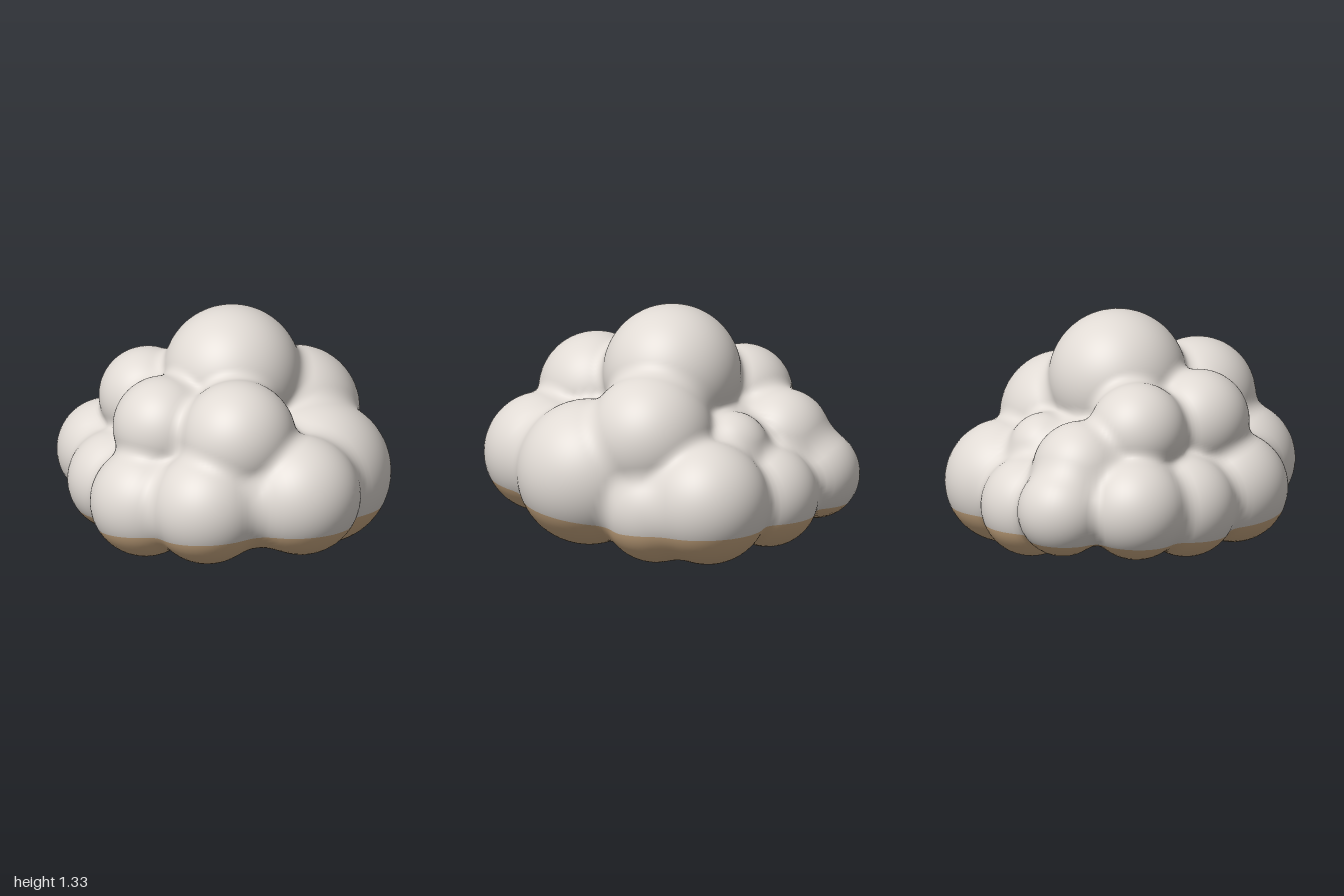
import * as THREE from 'three';

// Puffs of the cloud: centre x, y, z and radius
const PUFFS = [
  [0.05, 0.95, -0.02, 0.38],   // crown
  [-0.08, 0.78, 0.48, 0.32],   // front shoulder
  [0.22, 0.48, 0.67, 0.33],    // front row
  [-0.29, 0.44, 0.58, 0.315],
  [0.44, 0.45, 0.31, 0.40],    // +x side
  [0.43, 0.68, -0.05, 0.35],
  [0.52, 0.305, -0.12, 0.30],
  [0.51, 0.36, -0.42, 0.34],
  [-0.40, 0.76, 0.15, 0.28],   // -x side, upper
  [-0.35, 0.77, -0.28, 0.27],
  [-0.545, 0.385, 0.27, 0.305], // -x side, lower
  [-0.57, 0.36, -0.13, 0.28],
  [-0.52, 0.40, -0.47, 0.28],
  [-0.23, 0.39, -0.75, 0.25],  // back row
  [0.13, 0.33, -0.62, 0.28],
  [-0.20, 0.58, -0.57, 0.27],
  [0.20, 0.60, -0.44, 0.20],
  [0.00, 0.50, 0.00, 0.38],    // core, filling the underside
  [-0.02, 0.48, -0.28, 0.33],
  [-0.02, 0.48, 0.30, 0.34],
  [-0.22, 0.43, 0.15, 0.30],
  [-0.24, 0.43, -0.25, 0.30],
  [0.22, 0.42, 0.05, 0.30],
  [-0.03, 0.46, 0.58, 0.27],
];
const CENTRE = new THREE.Vector3(0, 0.42, 0);
const BLEND = 0.07;
const COLUMNS = 180;

// Signed distance to all puffs, with soft fillets where they meet
function distance(p) {
  let d = 10;
  for (const [x, y, z, r] of PUFFS) {
    const e = Math.hypot(p.x - x, p.y - y, p.z - z) - r;
    const h = Math.max(BLEND - Math.abs(d - e), 0) / BLEND;
    d = Math.min(d, e) - h * h * BLEND * 0.25;
  }
  return d;
}

// Outermost surface point in a direction from the centre
function surfacePoint(phi, theta) {
  const dir = new THREE.Vector3().setFromSphericalCoords(1, theta, phi);
  const p = new THREE.Vector3();
  let t = 1.5;
  for (let i = 0; i < 100; i++) {
    p.copy(CENTRE).addScaledVector(dir, t);
    const d = distance(p);
    if (d < 0.0005) break;
    t -= d;
  }
  return p;
}

function surfaceNormal(p) {
  const e = 0.006;
  const slope = (axis) => {
    const a = p.clone(), b = p.clone();
    a[axis] += e;
    b[axis] -= e;
    return distance(a) - distance(b);
  };
  return new THREE.Vector3(slope('x'), slope('y'), slope('z')).normalize();
}

// Height of the colour line, rising towards the front
const colourLine = (z) => 0.205 + (z > 0 ? 0.145 : -0.03) * z;

// Polar angle at which the surface first drops below the colour line
function lineAngle(phi) {
  const isAbove = (theta) => {
    const p = surfacePoint(phi, theta);
    return p.y > colourLine(p.z);
  };
  let hi = 1.4;
  while (hi < 3 && isAbove(hi)) hi += 0.03;
  let lo = hi - 0.03;
  for (let i = 0; i < 10; i++) {
    const mid = (lo + hi) / 2;
    if (isAbove(mid)) lo = mid;
    else hi = mid;
  }
  return (lo + hi) / 2;
}

// Grid wrapped round the cloud, its rows running from one polar angle to another
function shell(name, material, rows, startAngle, endAngle) {
  const geometry = new THREE.PlaneGeometry(1, 1, COLUMNS, rows);
  const { position, normal } = geometry.attributes;
  for (let i = 0; i < position.count; i++) {
    const column = i % (COLUMNS + 1);
    const v = Math.floor(i / (COLUMNS + 1)) / rows;
    const phi = (column / COLUMNS) * Math.PI * 2;
    const theta = THREE.MathUtils.lerp(startAngle(column), endAngle(column), v);
    const p = surfacePoint(phi, theta);
    const n = surfaceNormal(p);
    position.setXYZ(i, p.x, p.y, p.z);
    normal.setXYZ(i, n.x, n.y, n.z);
  }
  const mesh = new THREE.Mesh(geometry, material);
  mesh.name = name;
  return mesh;
}

export function createModel() {
  const paleGrey = new THREE.MeshStandardMaterial({ color: 0xe0dad4 });
  paleGrey.name = 'paleGrey';
  const tan = new THREE.MeshStandardMaterial({ color: 0xd0ae86 });
  tan.name = 'tan';

  const angles = Array.from({ length: COLUMNS }, (_, i) =>
    lineAngle((i / COLUMNS) * Math.PI * 2));
  const line = (column) => angles[column % COLUMNS];

  const cloud = new THREE.Group();
  cloud.name = 'cloud';
  cloud.add(
    shell('cloudTop', paleGrey, 90, () => 0, line),
    shell('cloudUnderside', tan, 50, line, () => Math.PI),
  );
  return cloud;
}
